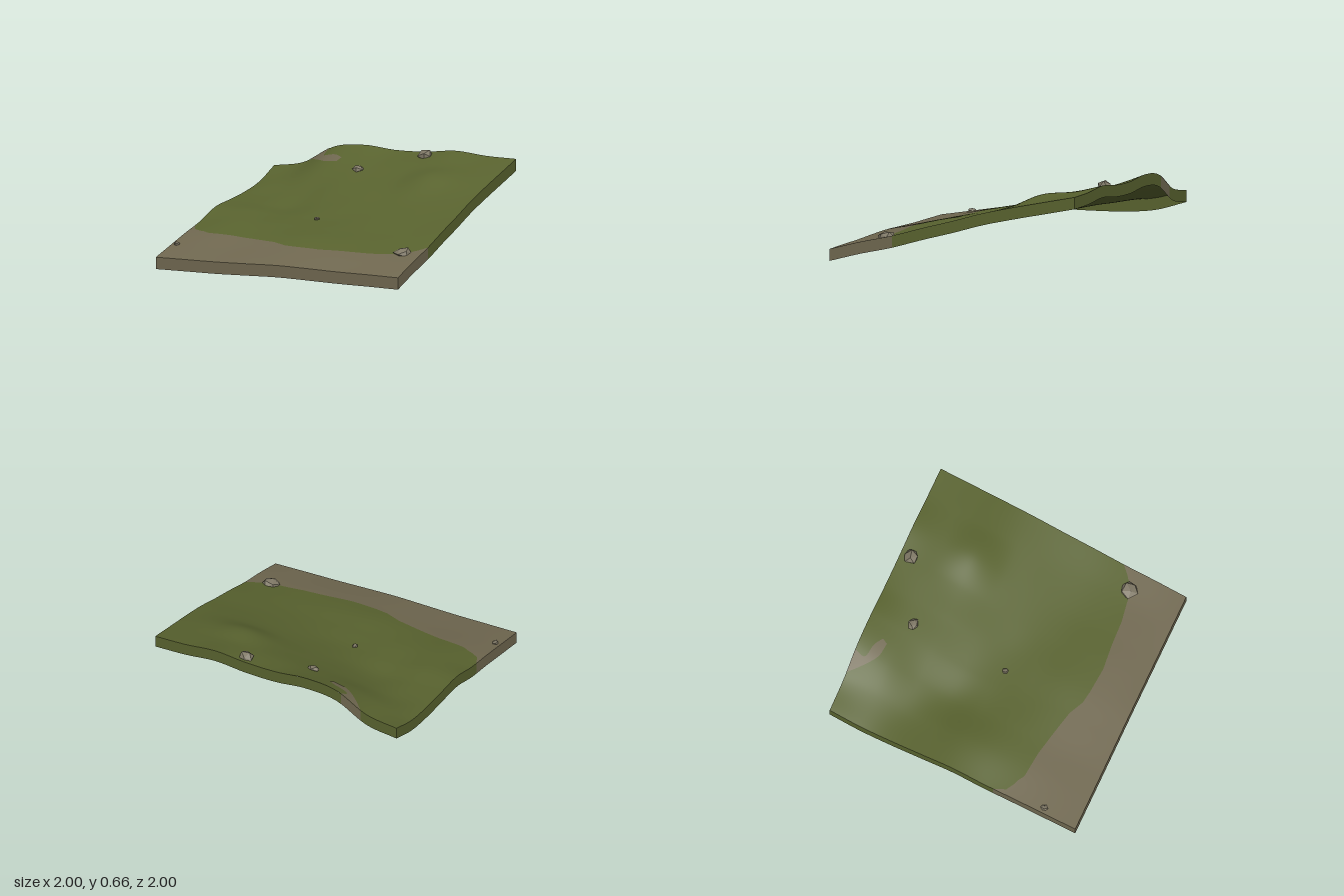
import * as THREE from 'three';

const mat = (name, color, extra = {}) => {
  const m = new THREE.MeshStandardMaterial({ color, side: THREE.DoubleSide, ...extra });
  m.name = name;
  return m;
};

// Coarse height map: rows from back (z = -1) to front, columns from x = -1 to 1
const HEIGHTS = [
  [.405, .455, .595, .63, .615, .625, .655, .64, .64],
  [.33, .385, .475, .52, .545, .57, .59, .59, .585],
  [.30, .31, .35, .41, .45, .49, .555, .54, .53],
  [.29, .285, .275, .32, .36, .39, .425, .45, .47],
  [.28, .285, .265, .275, .29, .315, .34, .365, .395],
  [.22, .25, .25, .25, .26, .265, .275, .295, .325],
  [.18, .20, .207, .22, .235, .235, .23, .235, .25],
  [.135, .145, .15, .165, .18, .185, .182, .18, .19],
  [.09, .095, .10, .11, .12, .12, .118, .12, .12],
];
const SKIRT = 0.09;

// Smooth interpolation of a row of values at t in -1..1
function smooth(values, t) {
  const n = values.length - 1;
  const f = THREE.MathUtils.clamp((t + 1) / 2, 0, 1) * n;
  const i = Math.min(Math.floor(f), n - 1), w = f - i;
  const b = values[i], c = values[i + 1];
  const a = i > 0 ? values[i - 1] : 2 * b - c;
  const d = i + 2 <= n ? values[i + 2] : 2 * c - b;
  return b + 0.5 * w * (c - a + w * (2 * a - 5 * b + 4 * c - d + w * (3 * (b - c) + d - a)));
}
const height = (x, z) => smooth(HEIGHTS.map((row) => smooth(row, x)), z);

function slopeNormal(x, z) {
  const e = 0.02;
  const x0 = Math.max(x - e, -1), x1 = Math.min(x + e, 1);
  const z0 = Math.max(z - e, -1), z1 = Math.min(z + e, 1);
  return new THREE.Vector3(
    -(height(x1, z) - height(x0, z)) / (x1 - x0), 1,
    -(height(x, z1) - height(x, z0)) / (z1 - z0)).normalize();
}

// Line where grass meets dirt, as [x, z]
const BORDER = [[-1, .33], [-.96, .42], [-.9, .455], [-.86, .47], [-.81, .5], [-.6, .52], [-.4, .56],
  [-.22, .6], [-.1, .655], [0, .67], [.2, .685], [.4, .665], [.6, .655], [.75, .63],
  [.86, .62], [.91, .57], [.95, .54], [1, .49]];
function border(x) {
  let i = 0;
  while (i < BORDER.length - 2 && x > BORDER[i + 1][0]) i++;
  const [x0, z0] = BORDER[i], [x1, z1] = BORDER[i + 1];
  return z0 + (z1 - z0) * (x - x0) / (x1 - x0);
}

// Grid surface from a rule point(u, v) -> [x, y, z]
function sheet(nu, nv, point) {
  const pos = [], index = [];
  for (let j = 0; j <= nv; j++) for (let i = 0; i <= nu; i++) {
    pos.push(...point(i / nu, j / nv));
    if (i < nu && j < nv) {
      const a = j * (nu + 1) + i, b = a + nu + 1;
      index.push(a, b, a + 1, b, b + 1, a + 1);
    }
  }
  const g = new THREE.BufferGeometry();
  g.setAttribute('position', new THREE.Float32BufferAttribute(pos, 3));
  g.setIndex(index);
  g.computeVertexNormals();
  return g;
}

// Sheet draped over the hill; plan(u, v) -> [x, z]
function drape(nu, nv, plan, lift = 0) {
  const g = sheet(nu, nv, (u, v) => {
    const [x, z] = plan(u, v);
    return [x, height(x, z) + lift, z];
  });
  const p = g.attributes.position, n = g.attributes.normal;
  for (let i = 0; i < p.count; i++) {
    const s = slopeNormal(p.getX(i), p.getZ(i));
    n.setXYZ(i, s.x, s.y, s.z);
  }
  return g;
}

// Vertical rim strip hanging below the edge between two plan points
function rim([x0, z0], [x1, z1]) {
  return sheet(40, 1, (u, v) => {
    const x = x0 + (x1 - x0) * u, z = z0 + (z1 - z0) * u;
    return [x, height(x, z) - SKIRT * v, z];
  });
}

// Faceted boulder
function rockGeometry(seed, w, h, d) {
  const g = new THREE.IcosahedronGeometry(1, 0);
  const p = g.attributes.position;
  for (let i = 0; i < p.count; i++) {
    const x = p.getX(i), y = p.getY(i), z = p.getZ(i);
    const k = 1 + 0.16 * Math.sin(x * 5.1 + y * 3.7 + z * 6.3 + seed * 2.4);
    p.setXYZ(i, x * k * w / 2, y * k * h / 2, z * k * d / 2);
  }
  g.computeVertexNormals();
  return g;
}

export function createModel() {
  const model = new THREE.Group();
  model.name = 'hillside';
  const grass = mat('grass green', 0x59632f);
  const dirt = mat('dirt brown', 0x706850);
  const stone = mat('stone grey', 0x7e7765, { flatShading: true });
  const add = (name, geometry, material) => {
    const m = new THREE.Mesh(geometry, material);
    m.name = name;
    model.add(m);
    return m;
  };

  // Ground, split along the border line
  add('grassSlope', drape(100, 70, (u, v) => {
    const x = 2 * u - 1;
    return [x, -1 + (border(x) + 1) * v];
  }), grass);
  add('dirtPath', drape(100, 24, (u, v) => {
    const x = 2 * u - 1, b = border(x);
    return [x, b + (1 - b) * v];
  }), dirt);

  // Rim around the ground
  add('frontRim', rim([-1, 1], [1, 1]), dirt);
  add('backRimLeft', rim([1, -1], [-.54, -1]), grass);
  add('backRimPatch', rim([-.54, -1], [-.7, -1]), dirt);
  add('backRimRight', rim([-.7, -1], [-1, -1]), grass);
  add('leftRimDirt', rim([1, 1], [1, border(1)]), dirt);
  add('leftRimGrass', rim([1, border(1)], [1, -1]), grass);
  add('rightRimGrass', rim([-1, -1], [-1, border(-1)]), grass);
  add('rightRimDirt', rim([-1, border(-1)], [-1, 1]), dirt);

  // Bare patch at the back, visible on both faces of the ground
  const curve = (pts) => new THREE.CatmullRomCurve3(pts.map(([x, z]) => new THREE.Vector3(x, 0, z)));
  const edgeA = curve([[-.7, -1], [-.61, -.91], [-.5, -.83], [-.39, -.81]]);
  const edgeB = curve([[-.54, -1], [-.55, -.92], [-.44, -.89], [-.37, -.85]]);
  for (const lift of [0.003, -0.003]) {
    add('barePatch', drape(10, 30, (u, v) => {
      const p = edgeA.getPoint(v).lerp(edgeB.getPoint(v), u);
      return [p.x, p.z];
    }, lift), dirt);
  }

  // Rocks: x, z, width, height, depth, turn
  [[.29, -.92, .11, .09, .12, .2], [-.16, -.7, .11, .06, .075, 0], [-.14, .04, .042, .03, .05, .5],
    [.85, .6, .14, .08, .14, .9], [-.96, .73, .05, .035, .06, .3],
  ].forEach(([x, z, w, h, d, turn], i) => {
    const rock = add('rock', rockGeometry(i + 1, w, h, d), stone);
    rock.position.set(x, height(x, z) + 0.004, z);
    rock.rotation.y = turn;
  });
  return model;
}
